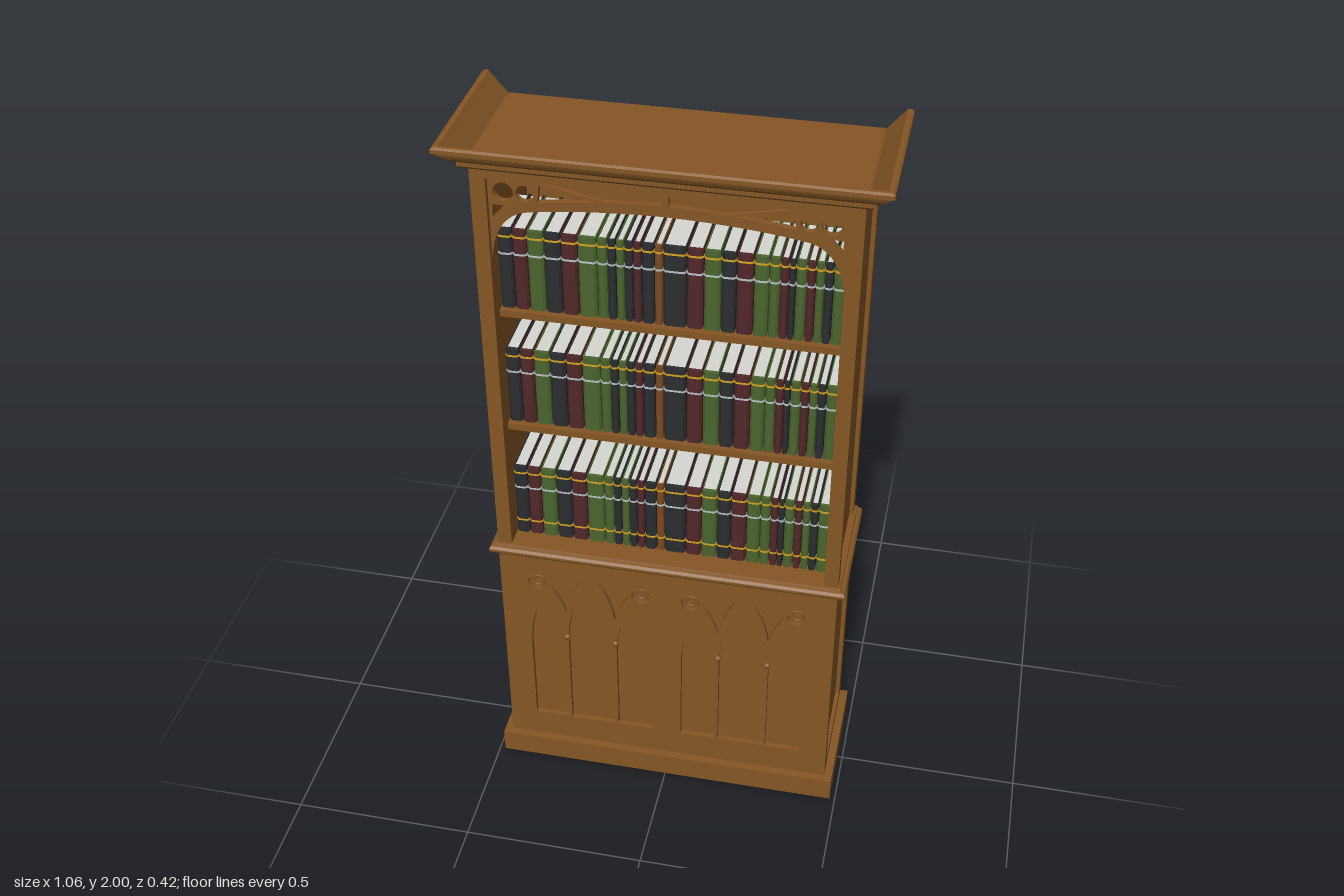
import * as THREE from 'three';

const mat = (name, color, side = THREE.FrontSide) => {
  const m = new THREE.MeshStandardMaterial({ color, side });
  m.name = name;
  return m;
};

export function createModel() {
  const wood = mat('oak wood', 0x855625);
  const pages = mat('paper', 0xd6d6d2);
  const gold = mat('gold band', 0xd9a520);
  const silver = mat('silver band', 0xb9c4c8);
  const covers = {
    D: mat('charcoal leather', 0x2a2d2f),
    M: mat('maroon leather', 0x512729),
    G: mat('green leather', 0x4c652e),
    B: mat('tan leather', 0x7a4a22),
  };
  const root = new THREE.Group();
  root.name = 'bookcase';
  const W = 0.463, BACK = -0.207, FRONT = 0.145, INNER = 0.425, TOP = 1.945;

  const add = (name, geo, m = wood, parent = root) => {
    const mesh = new THREE.Mesh(geo, m);
    mesh.name = name;
    parent.add(mesh);
    return mesh;
  };
  // Box given by its minimum and maximum on each axis
  const box = (name, x0, x1, y0, y1, z0, z1, m = wood, parent = root) =>
    add(name, new THREE.BoxGeometry(x1 - x0, y1 - y0, z1 - z0)
      .translate((x0 + x1) / 2, (y0 + y1) / 2, (z0 + z1) / 2), m, parent);
  const poly = (...pts) => new THREE.Shape(pts.map(p => new THREE.Vector2(...p)));
  const rect = (x0, x1, y0, y1) => poly([x0, y0], [x1, y0], [x1, y1], [x0, y1]);
  const plate = (shape, holes, depth) => {
    shape.holes.push(...holes);
    return new THREE.ExtrudeGeometry(shape, { depth, bevelEnabled: false, curveSegments: 10 });
  };
  const disc = (x, y, r) => new THREE.Path().absarc(x, y, r, 0, Math.PI * 2, false);

  // Moulding swept round both sides and the front with mitred corners
  function moulding(name, profile) {
    const station = [
      ([d, y]) => [W + d, y, BACK], ([d, y]) => [W + d, y, FRONT + d],
      ([d, y]) => [-W - d, y, FRONT + d], ([d, y]) => [-W - d, y, BACK],
    ];
    const pos = [], n = profile.length;
    for (let s = 0; s < 3; s++) for (let i = 0; i < n; i++) {
      const p = profile[i], q = profile[(i + 1) % n], A = station[s], B = station[s + 1];
      pos.push(...A(p), ...A(q), ...B(q), ...A(p), ...B(q), ...B(p));
    }
    const flat = profile.map(p => new THREE.Vector2(...p));
    for (const [a, b, c] of THREE.ShapeUtils.triangulateShape(flat, [])) {
      pos.push(...[c, b, a].flatMap(i => station[0](profile[i])));
      pos.push(...[a, b, c].flatMap(i => station[3](profile[i])));
    }
    const g = new THREE.BufferGeometry();
    g.setAttribute('position', new THREE.Float32BufferAttribute(pos, 3));
    g.computeVertexNormals();
    add(name, g);
  }

  moulding('cornice', [[-0.01, 1.93], [0.016, 1.93], [0.021, 1.936], [0.021, 1.948],
    [0.032, 1.953], [0.044, 1.963], [0.049, 1.972], [0.056, 1.976], [0.058, 1.982],
    [0.066, 1.986], [0.066, 1.996], [0.06, 2], [0.05, 2], [0.042, 1.99], [0.004, 1.945], [-0.01, 1.94]]);
  moulding('waistMoulding', [[-0.01, 0.755], [0.008, 0.755], [0.01, 0.762], [0.017, 0.764],
    [0.021, 0.77], [0.021, 0.777], [0.016, 0.784], [0.008, 0.786], [0.006, 0.791], [-0.01, 0.791]]);
  moulding('plinth', [[-0.025, 0], [0.022, 0], [0.022, 0.07], [-0.025, 0.07]]);

  // Carcass boards
  box('topBoard', -W, W, 1.915, TOP, BACK, FRONT);
  box('bottomBoard', -W, W, 0.07, 0.09, BACK, FRONT);
  box('backBoard', -0.45, 0.45, 0.08, 1.93, -0.195, -0.18);
  box('deck', -0.44, 0.44, 0.76, 0.79, -0.185, 0.14);
  for (const y of [1.165, 1.513]) box('shelf', -0.43, 0.43, y - 0.019, y, -0.185, 0.105);

  // Framed back and sides
  add('backFrame', plate(rect(-W, W, 0.07, TOP),
    [rect(-0.428, 0.428, 0.1, 0.75), rect(-0.428, 0.428, 0.79, 1.9)], 0.012).translate(0, 0, BACK));
  for (const s of [-1, 1]) {
    const xs = [s * INNER, s * 0.452].sort((a, b) => a - b);
    box('sideBoard', ...xs, 0.08, 1.93, -0.19, 0.14);
    add('sideFrame', plate(rect(BACK, FRONT, 0.07, TOP),
      [rect(-0.163, 0.107, 0.1, 0.75), rect(-0.163, 0.107, 0.79, 1.9)], 0.012)
      .rotateY(-Math.PI / 2).translate(s > 0 ? W : 0.012 - W, 0, 0));
    const fx = [s * 0.42, s * 0.485].sort((a, b) => a - b);
    box('backFoot', ...fx, 0, 0.07, BACK, BACK + 0.03);
  }

  // Pierced lancet tracery of one door, centred on cx
  function tracery(cx) {
    const holes = [];
    const mid = new THREE.Path();
    mid.moveTo(cx - 0.065, 0.155).lineTo(cx + 0.065, 0.155).lineTo(cx + 0.065, 0.47);
    mid.quadraticCurveTo(cx + 0.055, 0.62, cx, 0.682);
    mid.quadraticCurveTo(cx - 0.055, 0.62, cx - 0.065, 0.47);
    holes.push(mid);
    for (const s of [-1, 1]) {
      const X = x => cx + s * x;
      const side = new THREE.Path();
      side.moveTo(X(0.073), 0.155).lineTo(X(0.172), 0.155).lineTo(X(0.172), 0.44);
      side.quadraticCurveTo(X(0.168), 0.55, X(0.125), 0.632);
      side.quadraticCurveTo(X(0.085), 0.57, X(0.073), 0.47);
      const sliver = new THREE.Path();
      sliver.moveTo(X(0.069), 0.56).quadraticCurveTo(X(0.085), 0.62, X(0.112), 0.652);
      sliver.lineTo(X(0.1), 0.688).lineTo(X(0.02), 0.688);
      sliver.quadraticCurveTo(X(0.058), 0.64, X(0.069), 0.56);
      holes.push(side, sliver, disc(X(0.145), 0.662, 0.027));
      add('mullionKnob', new THREE.SphereGeometry(0.01, 10, 8).translate(X(0.069), 0.47, FRONT - 0.003));
      add('roundelRing', new THREE.TorusGeometry(0.016, 0.004, 6, 16).translate(X(0.145), 0.662, FRONT - 0.011));
    }
    return holes;
  }
  add('frontFrame', plate(rect(-W, W, 0.07, TOP),
    [rect(-INNER, INNER, 0.79, 1.9), ...tracery(-0.214), ...tracery(0.214)], 0.03).translate(0, 0, 0.115));
  box('doorBacking', -0.43, 0.43, 0.09, 0.76, 0.1, 0.131);

  // Arched header with pierced spandrels
  const arch = new THREE.Shape();
  arch.moveTo(-INNER, 1.9).lineTo(-INNER, 1.67);
  arch.quadraticCurveTo(-0.415, 1.79, -0.34, 1.81).quadraticCurveTo(-0.2, 1.835, 0, 1.838);
  arch.quadraticCurveTo(0.2, 1.835, 0.34, 1.81).quadraticCurveTo(0.415, 1.79, INNER, 1.67);
  arch.lineTo(INNER, 1.9);
  const piercings = [];
  for (const s of [-1, 1]) {
    const spandrel = new THREE.Path();
    spandrel.moveTo(s * 0.008, 1.891).lineTo(s * 0.3, 1.891).lineTo(s * 0.305, 1.84);
    spandrel.quadraticCurveTo(s * 0.18, 1.86, s * 0.008, 1.865);
    piercings.push(spandrel, disc(s * 0.388, 1.86, 0.025), disc(s * 0.336, 1.86, 0.022),
      poly([s * 0.416, 1.824], [s * 0.385, 1.824], [s * 0.416, 1.79]));
    add('spandrelBar', new THREE.BoxGeometry(0.17, 0.006, 0.012)
      .rotateZ(s * 0.2).translate(s * 0.225, 1.872, 0.122));
  }
  add('archHeader', plate(arch, piercings, 0.016).translate(0, 0, 0.114));

  // Books: cover letter and relative width, the same order on every shelf
  const order = ('D7 M7 G8 D8 M8 G9 G5 D4 G4 D4 M4 D6 B4 ' +
    'D11 M8 G8 D7 M8 G7 G5 M4 D3 G5 M4 G4 D4 G6').split(' ');
  const total = order.reduce((t, b) => t + +b.slice(1), 0);
  const SPINE = 0.09, TAIL = -0.09, T = 0.0025;

  // U-shaped wrap with a softly chamfered spine; thickness t, from z0 to z1
  function wrap(w, z0, z1, t, h) {
    const a = w / 2, b = a - t, c = Math.min(0.006, w * 0.25);
    return plate(poly([-a, -z0], [-b, -z0], [-b, -z1 + 2 * t + c], [b, -z1 + 2 * t + c], [b, -z0], [a, -z0],
      [a, -z1 + c], [a - c, -z1], [c - a, -z1], [-a, -z1 + c]), [], h).rotateX(-Math.PI / 2);
  }

  const rows = [
    { y: 0.79, bands: [[0.2, gold], [0.152, silver], [0.04, gold]] },
    { y: 1.165, bands: [[0.2, gold], [0.152, silver]] },
    { y: 1.513, bands: [[0.2, gold], [0.152, silver]] },
  ];
  for (const { y, bands } of rows) {
    const row = new THREE.Group();
    row.name = 'bookRow';
    row.position.y = y;
    root.add(row);
    let x = -INNER;
    for (const entry of order) {
      const slot = +entry.slice(1) / total * 2 * INNER, w = slot - 0.003;
      const book = new THREE.Group();
      book.name = 'book';
      book.position.x = x + slot / 2;
      row.add(book);
      x += slot;
      add('cover', wrap(w, TAIL, SPINE, T, 0.223), covers[entry[0]], book);
      box('pageBlock', T - w / 2, w / 2 - T, 0.004, 0.219, TAIL + 0.004, SPINE - 0.008, pages, book);
      for (const [by, m] of bands)
        add('spineBand', wrap(w + 0.002, SPINE - 0.016, SPINE + 0.001, 0.0015, 0.005).translate(0, by, 0), m, book);
    }
  }
  return root;
}
